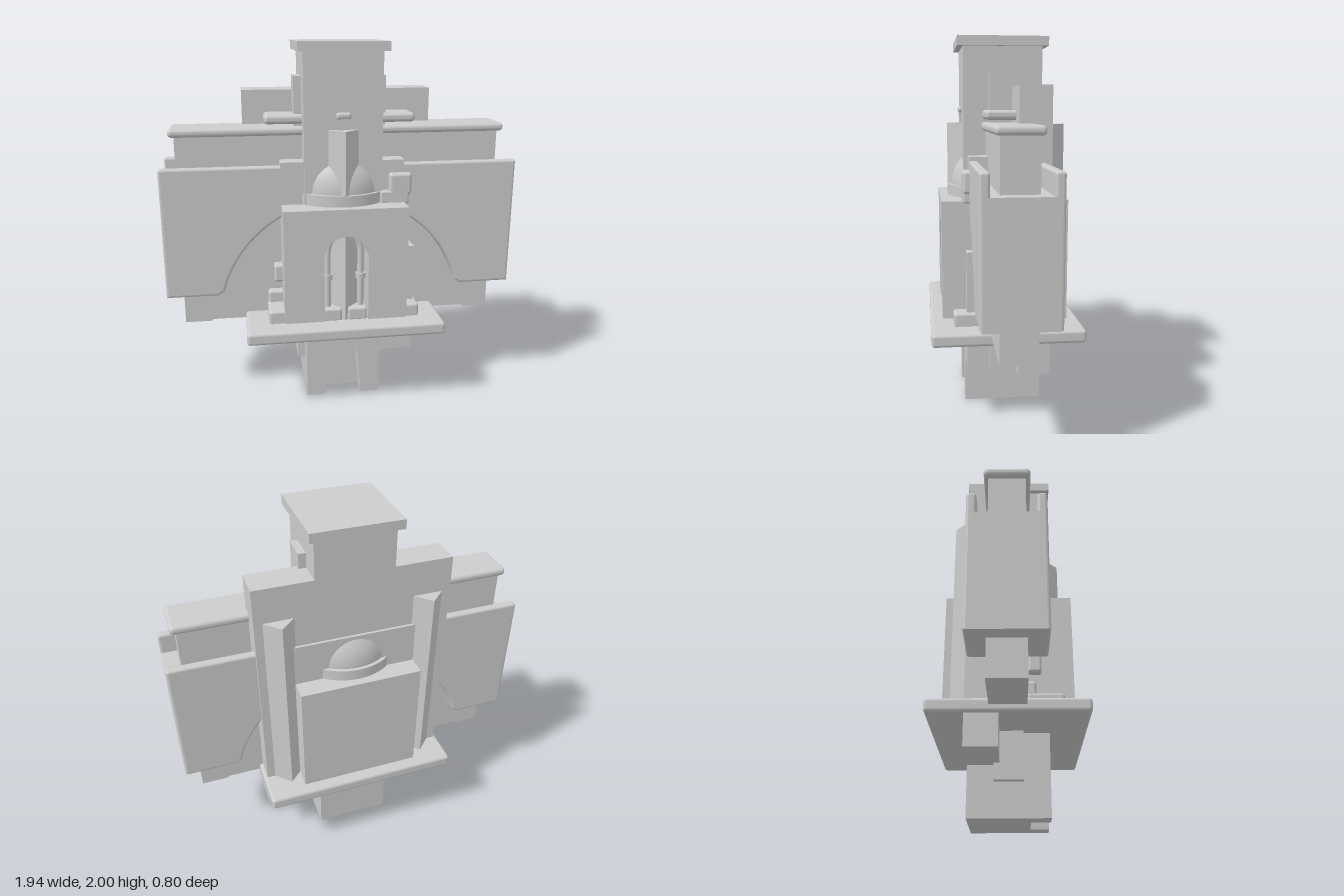
import * as THREE from 'three';
import { RoundedBoxGeometry } from 'three/addons/geometries/RoundedBoxGeometry.js';

export function createModel() {
  const model = new THREE.Group();
  const stone = new THREE.MeshStandardMaterial({ color: 0xcccccc });
  stone.name = 'pale grey';

  const add = (name, geometry) => {
    const mesh = new THREE.Mesh(geometry, stone);
    mesh.name = name;
    model.add(mesh);
    return mesh;
  };
  // boxes are given by their min and max on each axis; r rounds the edges
  const box = (name, x0, x1, y0, y1, z0, z1, r = 0) => {
    const s = [x1 - x0, y1 - y0, z1 - z0];
    const g = r ? new RoundedBoxGeometry(...s, 3, r) : new THREE.BoxGeometry(...s);
    g.translate((x0 + x1) / 2, (y0 + y1) / 2, (z0 + z1) / 2);
    return add(name, g);
  };
  const polygon = (points) => new THREE.Shape(points.map(([x, y]) => new THREE.Vector2(x, y)));
  const slab = (name, shape, z0, z1, bevel = 0) => {
    const g = new THREE.ExtrudeGeometry(shape, {
      depth: z1 - z0 - 2 * bevel, curveSegments: 32, bevelEnabled: bevel > 0,
      bevelSize: bevel, bevelOffset: -bevel, bevelThickness: bevel, bevelSegments: 3,
    });
    g.translate(0, 0, z0 + bevel);
    return add(name, g);
  };
  // upright three-sided rib, its ridge pointing to +z (dir 1) or -z (dir -1)
  const rib = (name, x, dir) => {
    const g = new THREE.ExtrudeGeometry(
      polygon([[x - 0.08, -dir * 0.2], [x - 0.08, -dir * 0.21], [x, -dir * 0.29], [x + 0.08, -dir * 0.21], [x + 0.08, -dir * 0.2]]),
      { depth: 1.05, bevelEnabled: false });
    g.rotateX(-Math.PI / 2).translate(0, 0.5, 0);
    add(name, g);
  };

  // central tower with a tapered slot at the foot
  box('tower', -0.21, 0.21, 0, 1.95, -0.21, 0.11);
  slab('towerFront', polygon([[-0.21, 0], [-0.105, 0], [-0.085, 0.265], [0.085, 0.265],
    [0.105, 0], [0.21, 0], [0.21, 1.95], [-0.21, 1.95]]), 0.11, 0.21);
  box('towerCap', -0.24, 0.24, 1.95, 2, -0.24, 0.24);
  box('towerSidePanels', -0.25, 0.25, 0.18, 1.82, -0.075, 0.075);
  box('rearCrossBlock', -0.525, 0.525, 0.265, 1.74, -0.21, -0.045);

  // long wall running through the wings
  const wall = polygon([[-0.885, 0.455], [-0.74, 0.455], [-0.73, 0.465], [0.73, 0.465],
    [0.74, 0.455], [0.885, 0.455], [0.885, 1.52], [-0.885, 1.52]]);
  slab('longWall', wall, -0.092, 0.092);
  box('wallCoping', -0.915, 0.915, 1.51, 1.555, -0.115, 0.115, 0.02);
  box('upperCoping', -0.41, 0.41, 1.57, 1.62, -0.11, 0.11, 0.02);
  box('upperBlock', -0.25, 0.25, 1.55, 1.58, -0.075, 0.075);

  // arched wing shell with a channel between two rails on top
  const shell = new THREE.Shape();
  const a = Math.asin((0.67 - 0.486) / 0.68);
  shell.moveTo(0.97, 0.645);
  shell.lineTo(0.97, 1.25);
  shell.lineTo(-0.97, 1.25);
  shell.lineTo(-0.97, 0.645);
  shell.lineTo(-0.685, 0.645);
  shell.absarc(0, 0.486, 0.68, Math.PI - a, a, true);
  shell.lineTo(0.685, 0.645);
  slab('wingShell', shell, -0.19, 0.19, 0.014);
  for (const s of [-1, 1]) box('wingRail', -0.97, 0.97, 1.15, 1.36, s * 0.166 - 0.024, s * 0.166 + 0.024, 0.014);

  // base plate
  box('basePlate', -0.545, 0.545, 0.43, 0.5, -0.4, 0.4, 0.018);

  // gatehouse, front face pierced by a round arch
  const gate = polygon([[-0.335, 0.52], [-0.12, 0.52], [-0.12, 0.88]]);
  gate.absarc(0, 0.88, 0.12, Math.PI, 0, true);
  gate.lineTo(0.12, 0.52);
  gate.lineTo(0.335, 0.52);
  gate.lineTo(0.335, 1.15);
  gate.lineTo(-0.335, 1.15);
  slab('gateFront', gate, 0.2, 0.335);
  box('gateBody', -0.335, 0.335, 0.5, 1.15, -0.335, 0.2);
  box('gateUpperBody', -0.335, 0.335, 1.15, 1.38, -0.225, 0.19);

  // drum and dome, partly buried in the tower
  const drum = new THREE.CylinderGeometry(0.29, 0.29, 0.06, 64);
  drum.translate(0, 1.18, 0);
  add('drum', drum);
  const dome = new THREE.SphereGeometry(0.27, 64, 24, 0, Math.PI * 2, 0, Math.PI / 2);
  dome.translate(0, 1.21, 0);
  add('dome', dome);

  // ribs and finial
  rib('frontRib', 0, 1);
  rib('rearRib', -0.4, -1);
  rib('rearRib', 0.4, -1);
  box('finialStem', -0.028, 0.028, 1.54, 1.61, 0.19, 0.222);
  box('finialCap', -0.04, 0.04, 1.605, 1.64, 0.185, 0.228, 0.014);

  for (const s of [-1, 1]) {
    // slim columns, collars and footings in the archway
    const shaft = new THREE.CylinderGeometry(0.018, 0.018, 0.36, 16);
    shaft.translate(s * 0.092, 0.7, 0.235);
    add('archColumn', shaft);
    const collar = new THREE.CylinderGeometry(0.028, 0.028, 0.03, 16);
    collar.translate(s * 0.092, 0.745, 0.235);
    add('columnCollar', collar);
    const curve = new THREE.QuadraticBezierCurve3(new THREE.Vector3(s * 0.092, 0.88, 0.235),
      new THREE.Vector3(s * 0.092, 0.94, 0.235), new THREE.Vector3(s * 0.05, 0.98, 0.235));
    add('columnBranch', new THREE.TubeGeometry(curve, 12, 0.018, 12));
    const x = s * 0.07;
    box('columnFooting', x - 0.055, x + 0.055, 0.49, 0.57, 0.2, 0.285, 0.015);
    // stepped plinths beside the gatehouse
    const p = s * 0.36;
    box('plinth', p - 0.06, p + 0.06, 0.49, 0.57, 0.09, 0.28, 0.015);
    box('plinthStep', p - 0.055, p + 0.055, 0.55, 0.635, 0.08, 0.14, 0.015);
  }

  // single side pieces
  box('sidePost', 0.2, 0.4, 0.265, 0.89, 0.11, 0.21);
  box('sideKnob', -0.38, -0.32, 0.7, 0.8, 0.1, 0.17, 0.015);
  box('bracketArm', 0.2, 0.36, 1.14, 1.215, 0.17, 0.225, 0.012);
  box('bracketHead', 0.25, 0.375, 1.19, 1.31, 0.17, 0.225, 0.018);

  return model;
}
